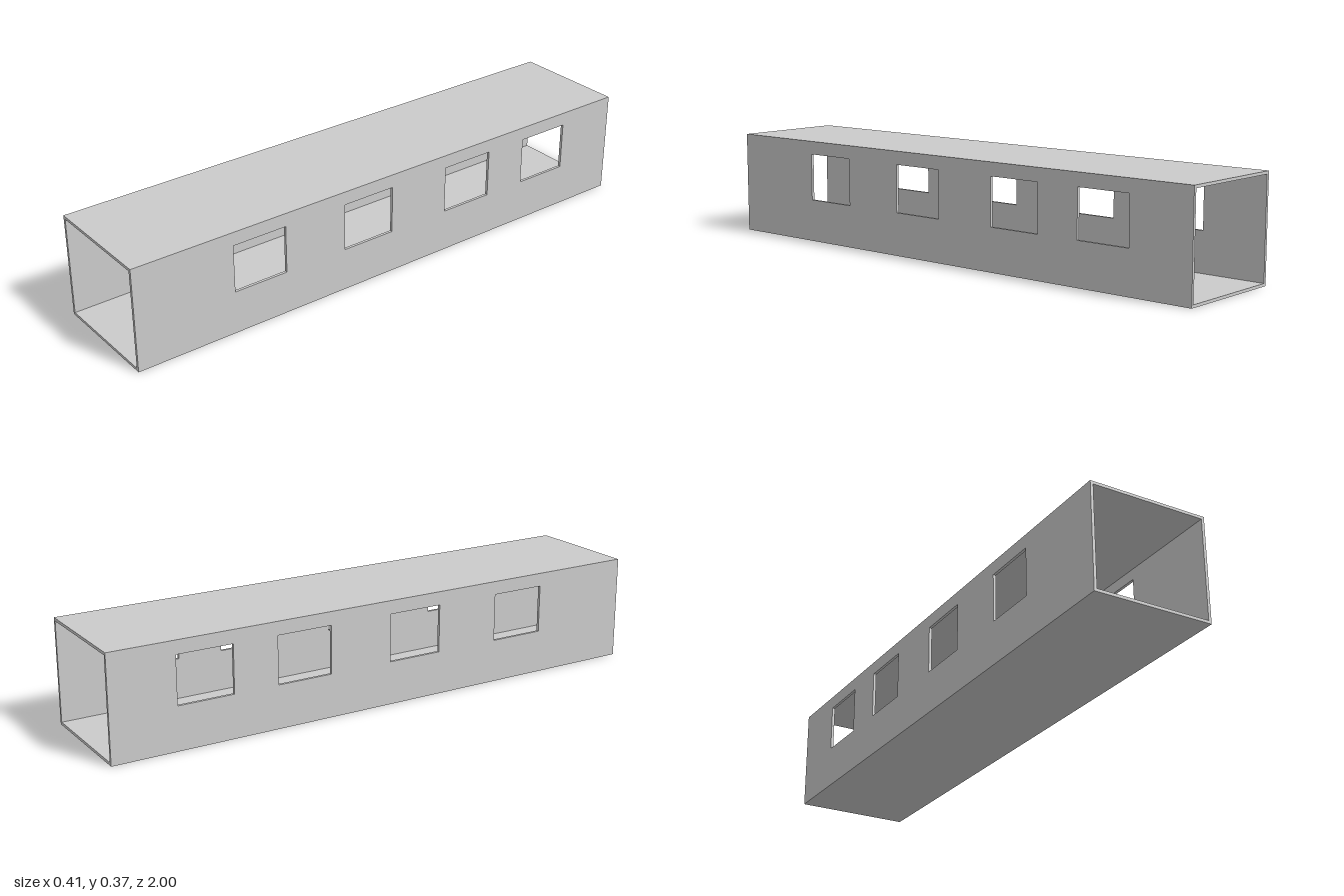
import * as THREE from 'three';

const W = 0.414, H = 0.365, L = 2, T = 0.01;
const WINDOW = { width: 0.197, bottom: 0.151, top: 0.318 };
const WINDOW_CENTRES = [0.542, 0.111, -0.317, -0.673];

export function createModel() {
  const group = new THREE.Group();
  const material = new THREE.MeshStandardMaterial({ color: 0xcccccc });

  const add = (name, geometry, x, y) => {
    const mesh = new THREE.Mesh(geometry, material);
    mesh.name = name;
    mesh.position.set(x, y, 0);
    group.add(mesh);
  };

  const rectangle = (path, z0, z1, y0, y1) =>
    path.moveTo(z0, y0).lineTo(z1, y0).lineTo(z1, y1).lineTo(z0, y1).closePath();

  // Side wall profile with four unevenly spaced windows
  const profile = rectangle(new THREE.Shape(), -L / 2, L / 2, 0, H);
  for (const z of WINDOW_CENTRES) {
    profile.holes.push(rectangle(new THREE.Path(),
      z - WINDOW.width / 2, z + WINDOW.width / 2, WINDOW.bottom, WINDOW.top));
  }

  // Profile runs along z, its thickness towards -x
  const wall = new THREE.ExtrudeGeometry(profile, { depth: T, bevelEnabled: false });
  wall.rotateY(-Math.PI / 2);
  add('leftWall', wall, W / 2, 0);
  add('rightWall', wall, -W / 2 + T, 0);

  // Floor and roof slabs fit between the walls
  const slab = new THREE.BoxGeometry(W - 2 * T, T, L);
  add('floor', slab, 0, T / 2);
  add('roof', slab, 0, H - T / 2);

  return group;
}
